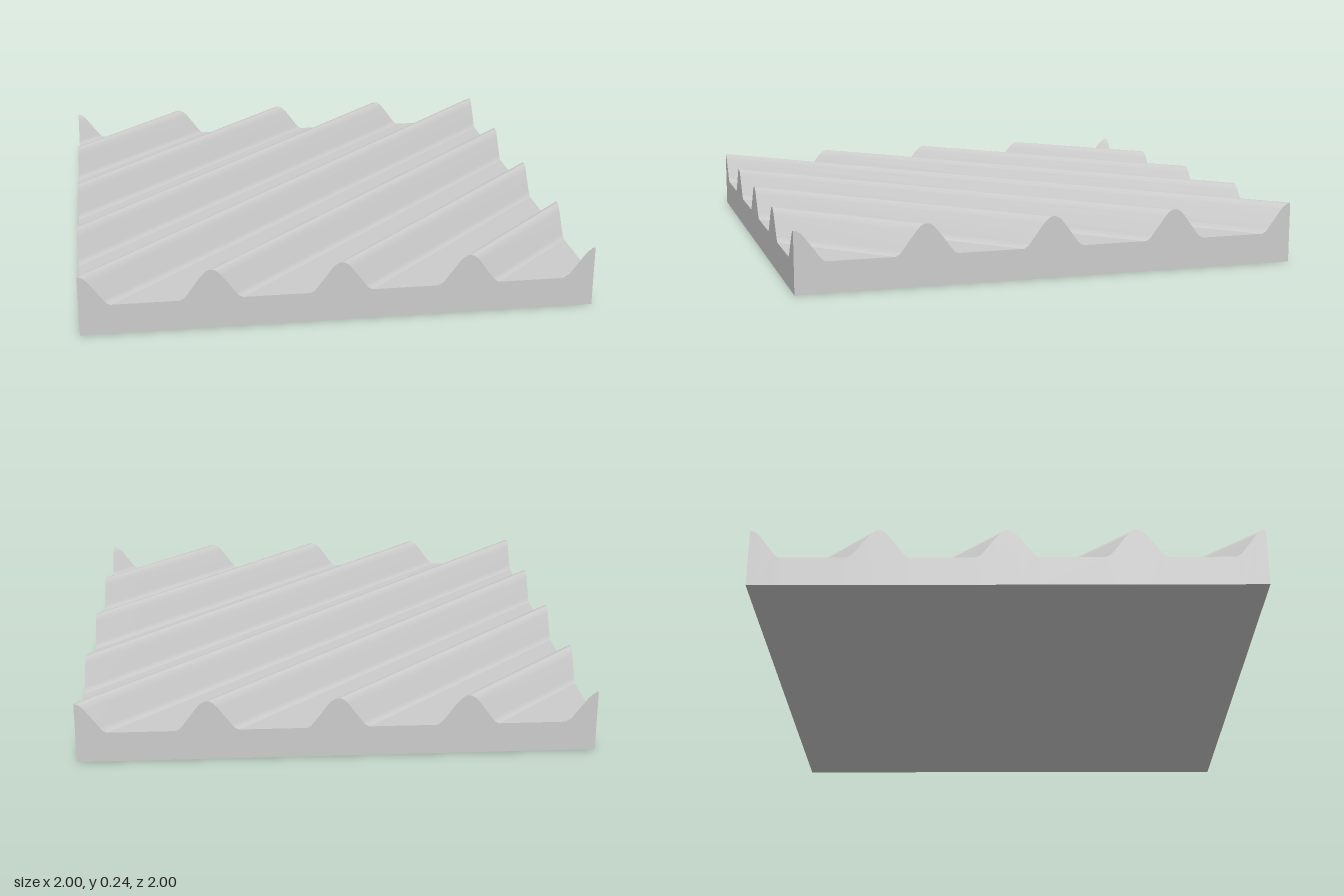
import * as THREE from 'three';
import { toCreasedNormals } from 'three/addons/utils/BufferGeometryUtils.js';

// One half of a rib: distance from the crest (along x + z) and height
const RIB = [[0, 0.24], [0.012, 0.238], [0.025, 0.23], [0.04, 0.214], [0.095, 0.14], [0.105, 0.128], [0.12, 0.12]];
const PITCH = 0.5;

// Section lines x + z = t across the square slab, each with its height
function sectionLines() {
  const lines = [];
  for (let k = -4; k <= 4; k++) {
    const crest = k * PITCH;
    if (k > -4) for (let i = RIB.length - 1; i > 0; i--) lines.push([crest - RIB[i][0], RIB[i][1]]);
    lines.push([crest, RIB[0][1]]);
    if (k < 4) for (let i = 1; i < RIB.length; i++) lines.push([crest + RIB[i][0], RIB[i][1]]);
  }
  // front-left end p and back-right end q of each line
  return lines.map(([t, y]) => ({
    y,
    p: t <= 0 ? [-1, t + 1] : [t - 1, 1],
    q: t <= 0 ? [t + 1, -1] : [1, t - 1],
  }));
}

function quadGeometry(quads) {
  const pos = [];
  for (const [a, b, c, d] of quads) pos.push(...a, ...b, ...c, ...a, ...c, ...d);
  const geo = new THREE.BufferGeometry();
  geo.setAttribute('position', new THREE.Float32BufferAttribute(pos, 3));
  geo.computeVertexNormals();
  return geo;
}

export function createModel() {
  const model = new THREE.Group();
  model.name = 'ribbedPanel';
  const grey = new THREE.MeshStandardMaterial({ color: 0xcccccc });
  grey.name = 'light grey';

  const at = ([x, z], y) => [x, y, z];
  const lines = sectionLines();
  const top = [], walls = [];
  for (let i = 0; i + 1 < lines.length; i++) {
    const a = lines[i], b = lines[i + 1];
    top.push([at(a.p, a.y), at(b.p, b.y), at(b.q, b.y), at(a.q, a.y)]);
    walls.push([at(a.p, 0), at(b.p, 0), at(b.p, b.y), at(a.p, a.y)]);
    walls.push([at(b.q, 0), at(a.q, 0), at(a.q, a.y), at(b.q, b.y)]);
  }

  const add = (name, geo) => {
    const mesh = new THREE.Mesh(geo, grey);
    mesh.name = name;
    model.add(mesh);
  };
  // Diagonal ribs with rounded crests
  add('ribbedTop', toCreasedNormals(quadGeometry(top), THREE.MathUtils.degToRad(30)));
  // Side walls following the rib outline
  add('sideWalls', quadGeometry(walls));
  // Flat underside
  add('underside', quadGeometry([[[-1, 0, -1], [1, 0, -1], [1, 0, 1], [-1, 0, 1]]]));
  return model;
}
